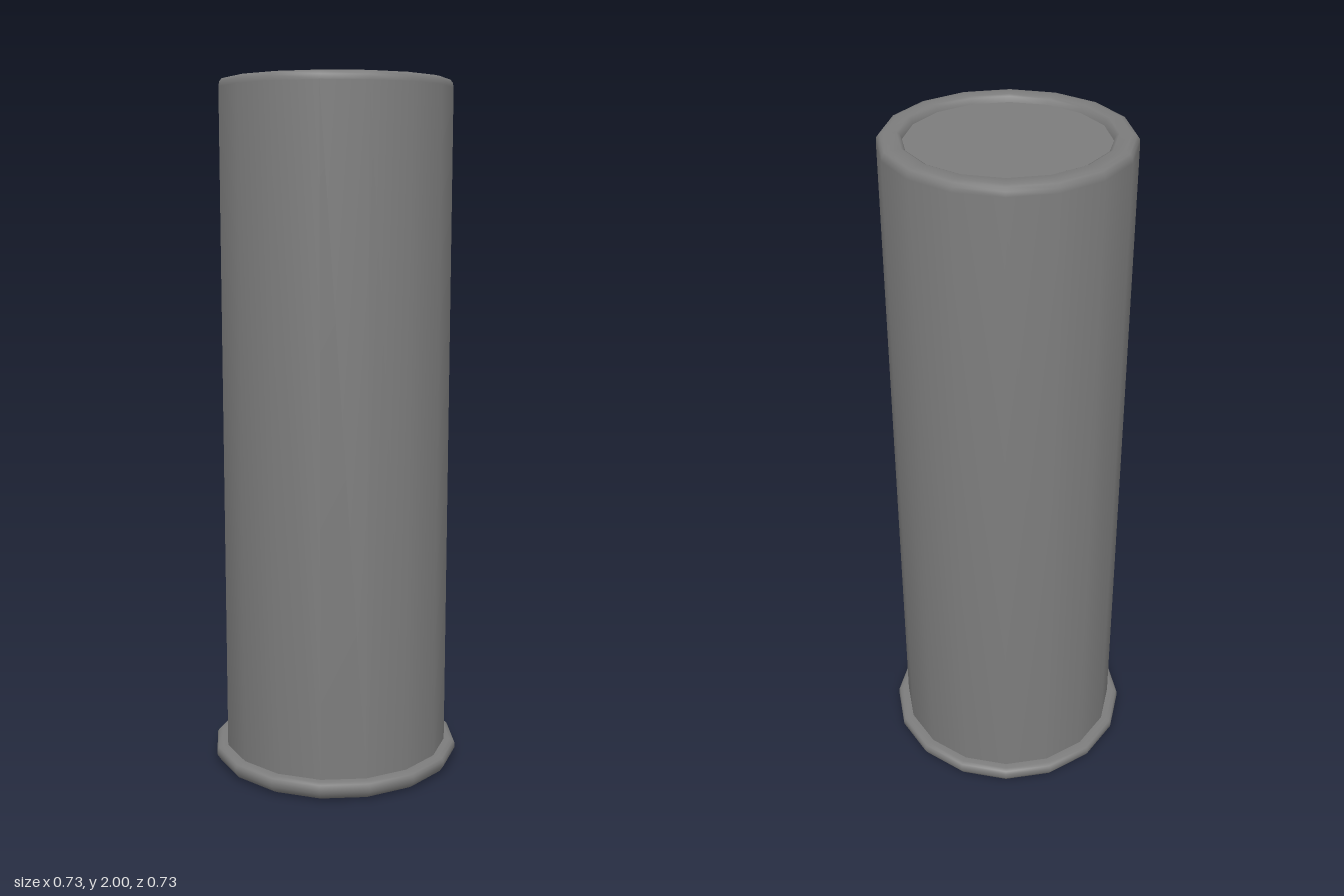
import * as THREE from 'three';
import { toCreasedNormals } from 'three/addons/utils/BufferGeometryUtils.js';

const SIDES = 16;

// Turns a profile of [radius, height] points around the y axis.
function turned(name, profile, material) {
  const points = profile.map(([r, y]) => new THREE.Vector2(r, y));
  const geometry = toCreasedNormals(new THREE.LatheGeometry(points, SIDES), Math.PI * 0.28);
  const mesh = new THREE.Mesh(geometry, material);
  mesh.name = name;
  return mesh;
}

export function createModel() {
  const group = new THREE.Group();
  group.name = 'cylinderCase';
  const material = new THREE.MeshStandardMaterial({ color: 0x7c7c7c });

  // Flat base with a rounded flange
  group.add(turned('baseFlange', [
    [0, 0], [0.325, 0], [0.338, 0], [0.355, 0.01], [0.366, 0.027],
    [0.366, 0.042], [0.361, 0.05], [0.35, 0.054], [0.333, 0.054],
  ], material));

  // Long tube with a rolled lip stepping down into the recess
  group.add(turned('tube', [
    [0.333, 0.054], [0.333, 1.975], [0.331, 1.988], [0.324, 1.997], [0.312, 2],
    [0.28, 2], [0.272, 1.996], [0.267, 1.982],
  ], material));

  // Flat disc closing the recessed end
  group.add(turned('endDisc', [[0.267, 1.982], [0, 1.982]], material));

  return group;
}
